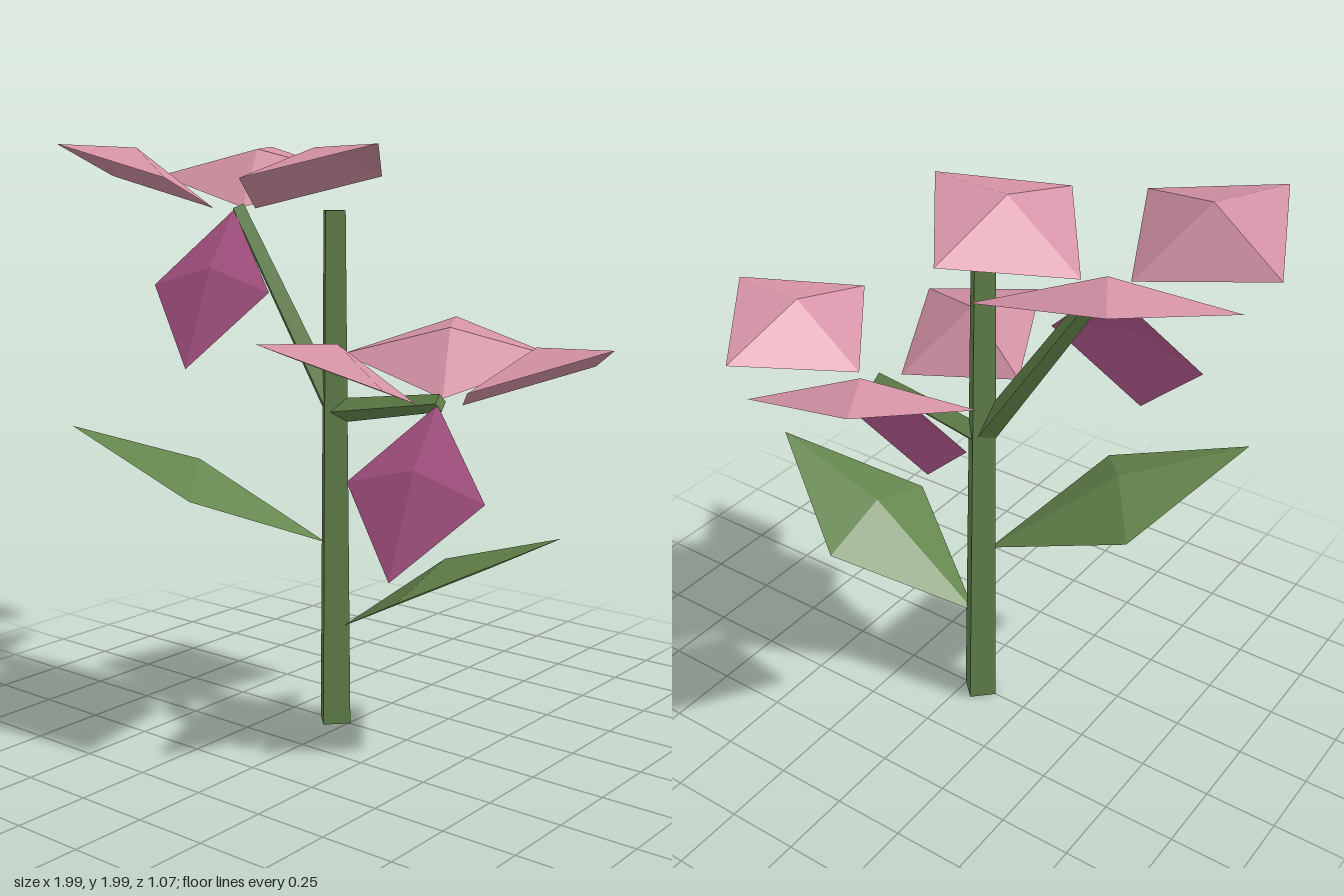
import * as THREE from 'three';

const material = (name, color, side = THREE.FrontSide) => {
  const m = new THREE.MeshStandardMaterial({ color, side, flatShading: true });
  m.name = name;
  return m;
};

// Four-faced raised diamond sheet running outwards along +x, from [r, y] to [r, y].
function diamondSheet([r0, y0], [r1, y1], halfWidth, lift) {
  const rm = (r0 + r1) / 2, ym = (y0 + y1) / 2;
  const peak = [rm, ym + lift, 0];
  const rim = [[r0, y0, 0], [rm, ym, halfWidth], [r1, y1, 0], [rm, ym, -halfWidth]];
  const points = rim.flatMap((p, i) => [...peak, ...p, ...rim[(i + 1) % 4]]);
  const geometry = new THREE.BufferGeometry();
  geometry.setAttribute('position', new THREE.Float32BufferAttribute(points, 3));
  geometry.computeVertexNormals();
  return geometry;
}

// Tapered four-sided stalk between two points.
function stalk(name, from, to, rFrom, rTo, mat) {
  const a = new THREE.Vector3(...from), b = new THREE.Vector3(...to);
  const dir = b.clone().sub(a);
  const mesh = new THREE.Mesh(new THREE.CylinderGeometry(rTo, rFrom, dir.length(), 4), mat);
  mesh.quaternion.setFromUnitVectors(new THREE.Vector3(0, 1, 0), dir.normalize());
  mesh.position.copy(a.add(b).multiplyScalar(0.5));
  mesh.name = name;
  return mesh;
}

export function createModel() {
  const group = new THREE.Group();
  group.name = 'flowerPlant';
  const stemGreen = material('stemGreen', 0x64854c);
  const leafGreen = material('leafGreen', 0x64854c, THREE.DoubleSide);
  const petalPink = material('petalPink', 0xd492a5, THREE.DoubleSide);
  const lipMagenta = material('lipMagenta', 0xba5c92, THREE.DoubleSide);
  const stemX = -0.06;

  // Angle is measured from +x towards +z.
  const addSheet = (parent, name, geometry, mat, angle) => {
    const mesh = new THREE.Mesh(geometry, mat);
    mesh.name = name;
    mesh.rotation.y = -angle;
    parent.add(mesh);
    return mesh;
  };

  // Main stem and two branches
  group.add(stalk('stem', [stemX, 0, 0], [stemX, 1.77, 0], 0.067, 0.047, stemGreen));
  group.add(stalk('upperBranch', [stemX, 1.1, 0], [-0.49, 1.77, 0], 0.042, 0.029, stemGreen));
  group.add(stalk('lowerBranch', [stemX, 1.1, 0], [0.375, 1.17, 0], 0.042, 0.029, stemGreen));

  // Leaves
  addSheet(group, 'lowerLeaf', diamondSheet([0.03, 0.345], [0.89, 0.795], 0.27, 0.09), leafGreen, 0)
    .position.x = stemX;
  addSheet(group, 'upperLeaf', diamondSheet([0.03, 0.64], [0.895, 1.043], 0.27, 0.09), leafGreen, 2.5)
    .position.x = stemX;

  // Flowers: three spreading petals and one hanging lip
  const petal = diamondSheet([0.085, 0], [0.618, 0.215], 0.37, 0.097);
  const lip = diamondSheet([0.015, -0.005], [0.27, -0.537], 0.27, 0.073);
  for (const [name, x, y] of [['upperFlower', -0.497, 1.77], ['lowerFlower', 0.374, 1.17]]) {
    const flower = new THREE.Group();
    flower.name = name;
    flower.position.set(x, y, 0);
    for (let i = 0; i < 3; i++) addSheet(flower, 'petal', petal, petalPink, (i * Math.PI * 2) / 3);
    addSheet(flower, 'lip', lip, lipMagenta, Math.PI / 2);
    group.add(flower);
  }
  return group;
}
